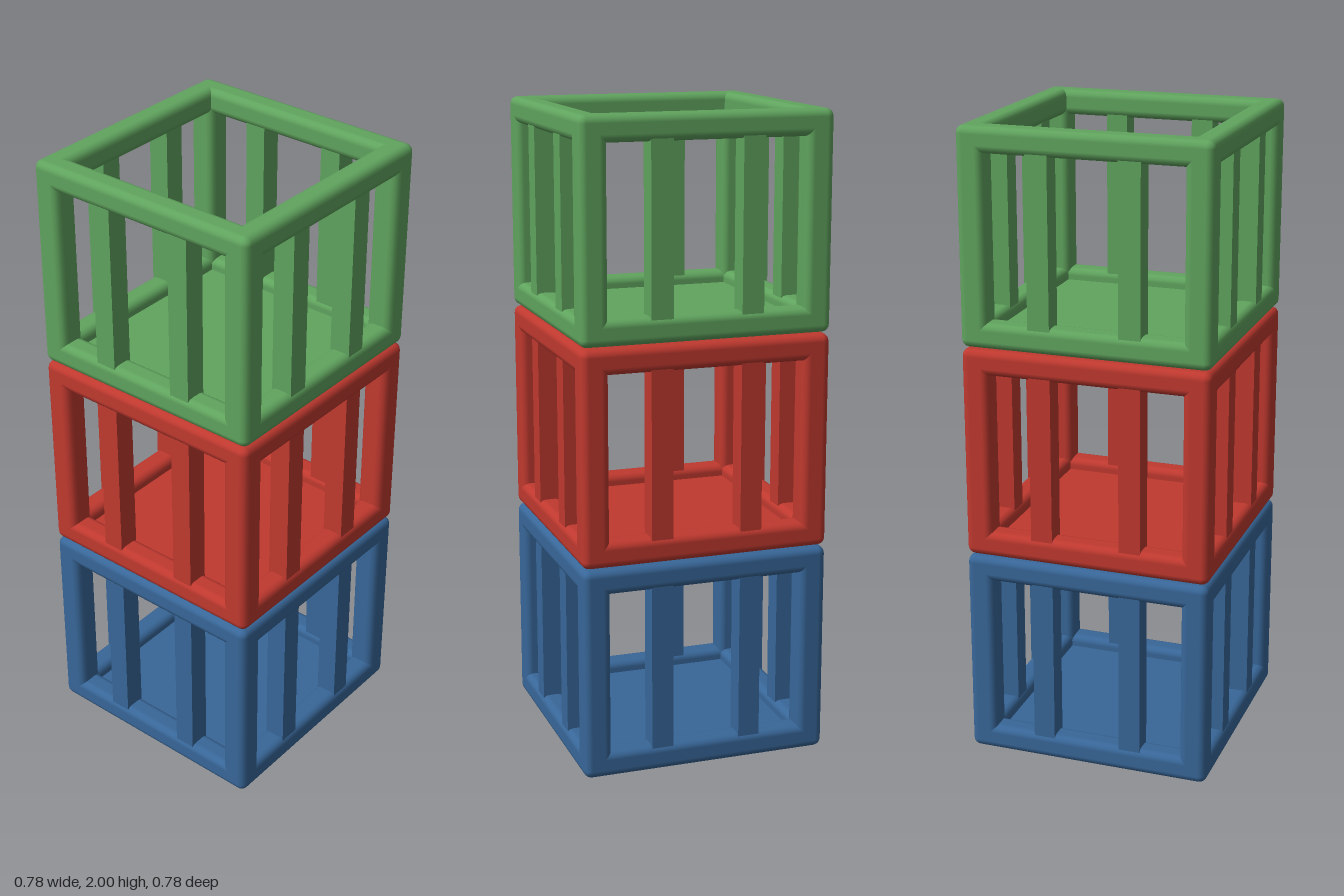
import * as THREE from 'three';
import { RoundedBoxGeometry } from 'three/addons/geometries/RoundedBoxGeometry.js';

const HALF = 0.39;    // half the crate width
const HEIGHT = 0.664; // one crate
const PITCH = 0.668;  // distance between stacked crates
const BEAM = 0.08;
const POST = 0.086;

function mat(name, color) {
  const m = new THREE.MeshStandardMaterial({ color });
  m.name = name;
  return m;
}

function add(group, name, geometry, material, x, y, z) {
  const mesh = new THREE.Mesh(geometry, material);
  mesh.name = name;
  mesh.position.set(x, y, z);
  group.add(mesh);
}

function createCrate(name, material, geo) {
  const crate = new THREE.Group();
  crate.name = name;

  // Floor panel, flush with the underside of the bottom rails
  add(crate, 'floor', geo.floor, material, 0, 0.022, 0);

  // Four sides, each with a corner post, two rails and two slats
  for (let i = 0; i < 4; i++) {
    const side = new THREE.Group();
    side.name = 'side' + (i + 1);
    side.rotation.y = i * Math.PI / 2;
    const z = HALF - BEAM / 2;
    add(side, 'bottomRail', geo.rail, material, 0, BEAM / 2, z);
    add(side, 'topRail', geo.rail, material, 0, HEIGHT - BEAM / 2, z);
    add(side, 'cornerPost', geo.post, material, HALF - POST / 2, HEIGHT / 2, HALF - POST / 2);
    for (const s of [-1, 1]) {
      add(side, 'slat', geo.slat, material, s * 0.141, HEIGHT / 2, z);
    }
    crate.add(side);
  }
  return crate;
}

export function createModel() {
  const model = new THREE.Group();
  model.name = 'stackedCrates';

  const geo = {
    rail: new RoundedBoxGeometry(HALF * 2, BEAM, BEAM, 2, 0.024),
    post: new RoundedBoxGeometry(POST, HEIGHT - 0.004, POST, 2, 0.024),
    slat: new THREE.BoxGeometry(0.068, HEIGHT - BEAM, 0.068),
    floor: new THREE.BoxGeometry(HALF * 2 - 0.04, 0.04, HALF * 2 - 0.04),
  };

  const colors = [
    ['blueCrate', mat('blue', 0x386799)],
    ['redCrate', mat('red', 0xc0392f)],
    ['greenCrate', mat('green', 0x60a45e)],
  ];
  colors.forEach(([name, material], i) => {
    const crate = createCrate(name, material, geo);
    crate.position.y = i * PITCH;
    model.add(crate);
  });
  return model;
}
